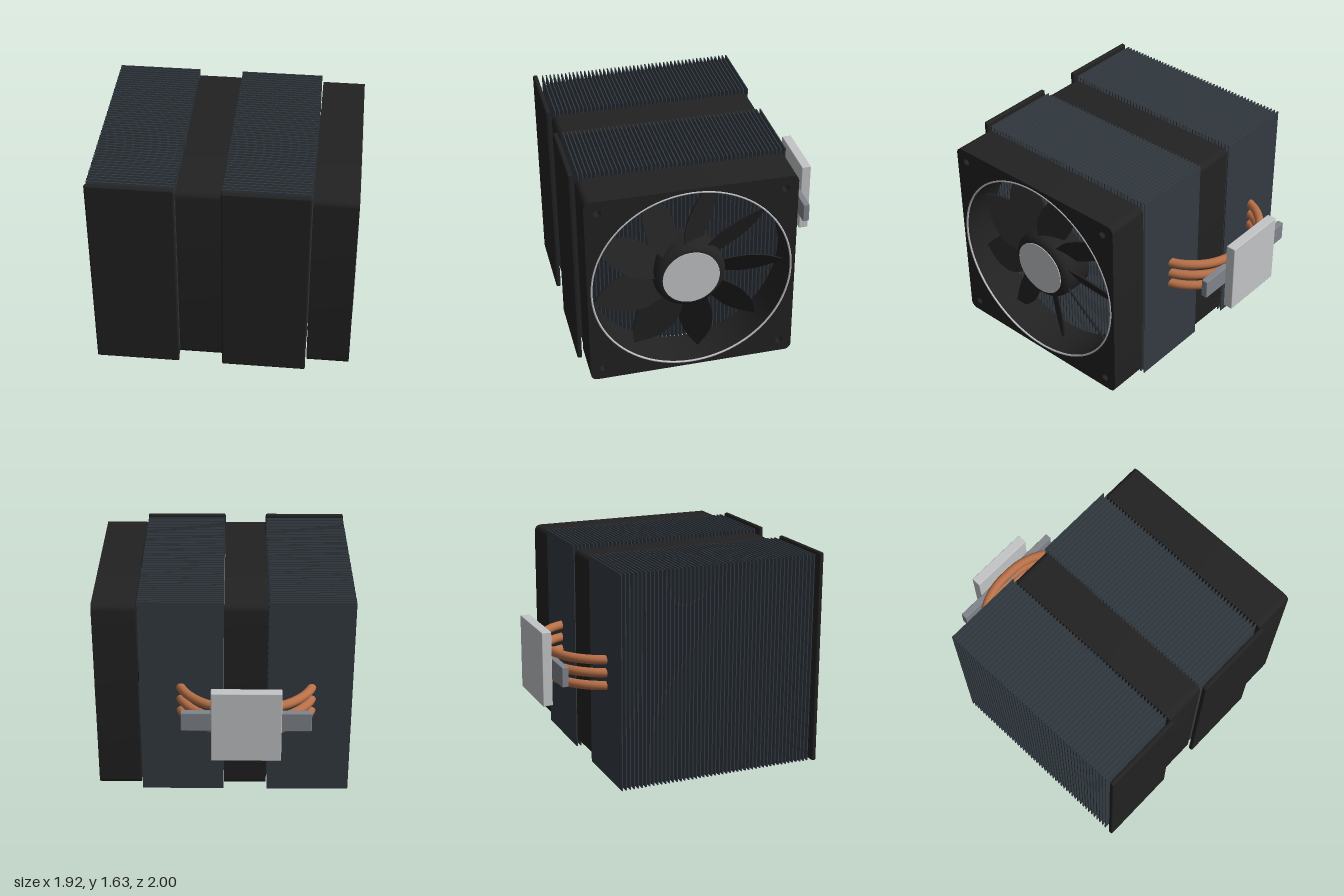
import * as THREE from 'three';
import { toCreasedNormals } from 'three/addons/utils/BufferGeometryUtils.js';
import { RoundedBoxGeometry } from 'three/addons/geometries/RoundedBoxGeometry.js';

const mat = (name, color) => {
  const m = new THREE.MeshStandardMaterial({ color });
  m.name = name;
  return m;
};

const MID_Y = 0.817;   // height of the fan axis
const FAN_Z = 0.183;   // depth of the fan axis
const STACKS = [-0.645, 0.3125]; // x centres of the two fin stacks

export function createModel() {
  const model = new THREE.Group();
  model.name = 'twinTowerCooler';

  const black = mat('black plastic', 0x222222);
  const slate = mat('slate fin metal', 0x333b42);
  const copper = mat('copper', 0xb87048);
  const silver = mat('silver', 0xc4c5c7);
  const steel = mat('grey steel', 0x81858c);

  const add = (parent, name, geometry, material, x = 0, y = 0, z = 0) => {
    const mesh = new THREE.Mesh(geometry, material);
    mesh.name = name;
    mesh.position.set(x, y, z);
    parent.add(mesh);
    return mesh;
  };

  // Fin stacks, each closed by a thicker cover plate at the front
  const finGeo = new THREE.BoxGeometry(0.623, 1.61, 0.008);
  const coverGeo = new RoundedBoxGeometry(0.63, 1.63, 0.036, 3, 0.012);
  const finCount = 50;
  STACKS.forEach((x, s) => {
    const stack = new THREE.Group();
    stack.name = s ? 'leftFinStack' : 'rightFinStack';
    stack.position.x = x;
    model.add(stack);
    for (let i = 0; i < finCount; i++) {
      add(stack, 'fin', finGeo, slate, 0, 0.815, -0.591 + (i * 1.515) / (finCount - 1));
    }
    add(stack, 'frontCover', coverGeo, black, 0, 0.815, 0.982);
  });

  // Fans, built facing +z and then turned to face +x
  const frameGeo = makeFrame();
  const bladeGeo = makeBlade();
  const hubGeo = toCreasedNormals(new THREE.LatheGeometry([
    [0, -0.13], [0.27, -0.13], [0.27, 0.06], [0.262, 0.088], [0.245, 0.108], [0.22, 0.12], [0, 0.12],
  ].map(([r, y]) => new THREE.Vector2(r, y)), 64).rotateX(Math.PI / 2), 0.7);
  const capGeo = new THREE.CylinderGeometry(0.213, 0.213, 0.008, 64).rotateX(Math.PI / 2);
  const rimGeo = new THREE.TorusGeometry(0.742, 0.008, 8, 96);
  [-0.165, 0.795].forEach((x, f) => {
    const fan = new THREE.Group();
    fan.name = f ? 'outerFan' : 'innerFan';
    fan.position.set(x, MID_Y, FAN_Z);
    fan.rotation.y = Math.PI / 2;
    model.add(fan);
    add(fan, 'fanFrame', frameGeo, black);
    add(fan, 'rimRing', rimGeo, silver, 0, 0, 0.157);
    add(fan, 'hub', hubGeo, black);
    add(fan, 'hubCap', capGeo, silver, 0, 0, 0.122);
    for (let i = 0; i < 9; i++) {
      add(fan, 'blade', bladeGeo, black, 0, 0, 0.02).rotation.z = (i * Math.PI * 2) / 9;
    }
  });

  // Heat pipes: U-shaped, mirrored about the base
  const baseX = -0.1675;
  const half = [[0.478, 0.927], [0.5, 0.55], [0.521, 0.15], [0.532, -0.2], [0.518, -0.45],
    [0.455, -0.66], [0.32, -0.81], [0.16, -0.88]];
  const path = [
    ...half.map(([x, z]) => new THREE.Vector3(baseX - x, 0, z)),
    new THREE.Vector3(baseX, 0, -0.896),
    ...half.slice().reverse().map(([x, z]) => new THREE.Vector3(baseX + x, 0, z)),
  ];
  const pipeGeo = new THREE.TubeGeometry(new THREE.CatmullRomCurve3(path), 120, 0.034, 16);
  const endGeo = new THREE.CircleGeometry(0.034, 16);
  for (const y of [0.719, MID_Y, 0.915]) {
    add(model, 'heatPipe', pipeGeo, copper, 0, y, 0);
    for (const side of [-1, 1]) {
      add(model, 'pipeEnd', endGeo, copper, baseX + side * 0.478, y, 0.927);
    }
  }

  // Contact base and its mounting bar
  add(model, 'contactBase', new RoundedBoxGeometry(0.51, 0.565, 0.075, 2, 0.006), silver, baseX, MID_Y, -0.9625);
  add(model, 'mountingBar', new RoundedBoxGeometry(0.95, 0.15, 0.05, 2, 0.006), steel, baseX, MID_Y, -0.9);

  return model;
}

// Square frame with rounded corners, a round duct and four screw holes
function makeFrame() {
  const h = 0.7725, r = 0.05;
  const shape = new THREE.Shape();
  const corners = [[1, -1, -0.5], [1, 1, 0], [-1, 1, 0.5], [-1, -1, 1]];
  for (const [sx, sy, a] of corners) {
    shape.absarc(sx * (h - r), sy * (h - r), r, a * Math.PI, (a + 0.5) * Math.PI, false);
  }
  shape.closePath();
  const hole = (x, y, radius) => {
    shape.holes.push(new THREE.Path().absarc(x, y, radius, 0, Math.PI * 2, true));
  };
  hole(0, 0, 0.742);
  for (const [sx, sy] of corners) hole(sx * 0.677, sy * 0.677, 0.027);
  const geo = new THREE.ExtrudeGeometry(shape, { depth: 0.32, bevelEnabled: false, curveSegments: 40 });
  return toCreasedNormals(geo.translate(0, 0, -0.16), 0.6);
}

// Leaf-shaped blade, sheared along the axis to give it pitch
function makeBlade() {
  const v = (p) => new THREE.Vector2(p[0], p[1]);
  const shape = new THREE.Shape();
  shape.moveTo(0.24, -0.075);
  shape.splineThru([[0.38, -0.115], [0.5, -0.13], [0.62, -0.105], [0.735, -0.047]].map(v));
  shape.splineThru([[0.6, 0.045], [0.476, 0.09], [0.38, 0.103], [0.24, 0.085]].map(v));
  shape.closePath();
  const geo = new THREE.ExtrudeGeometry(shape, { depth: 0.016, bevelEnabled: false, curveSegments: 8 });
  const p = geo.attributes.position;
  for (let i = 0; i < p.count; i++) p.setZ(i, p.getZ(i) - 0.008 + 0.62 * p.getY(i));
  geo.computeVertexNormals();
  return toCreasedNormals(geo, 0.6);
}
